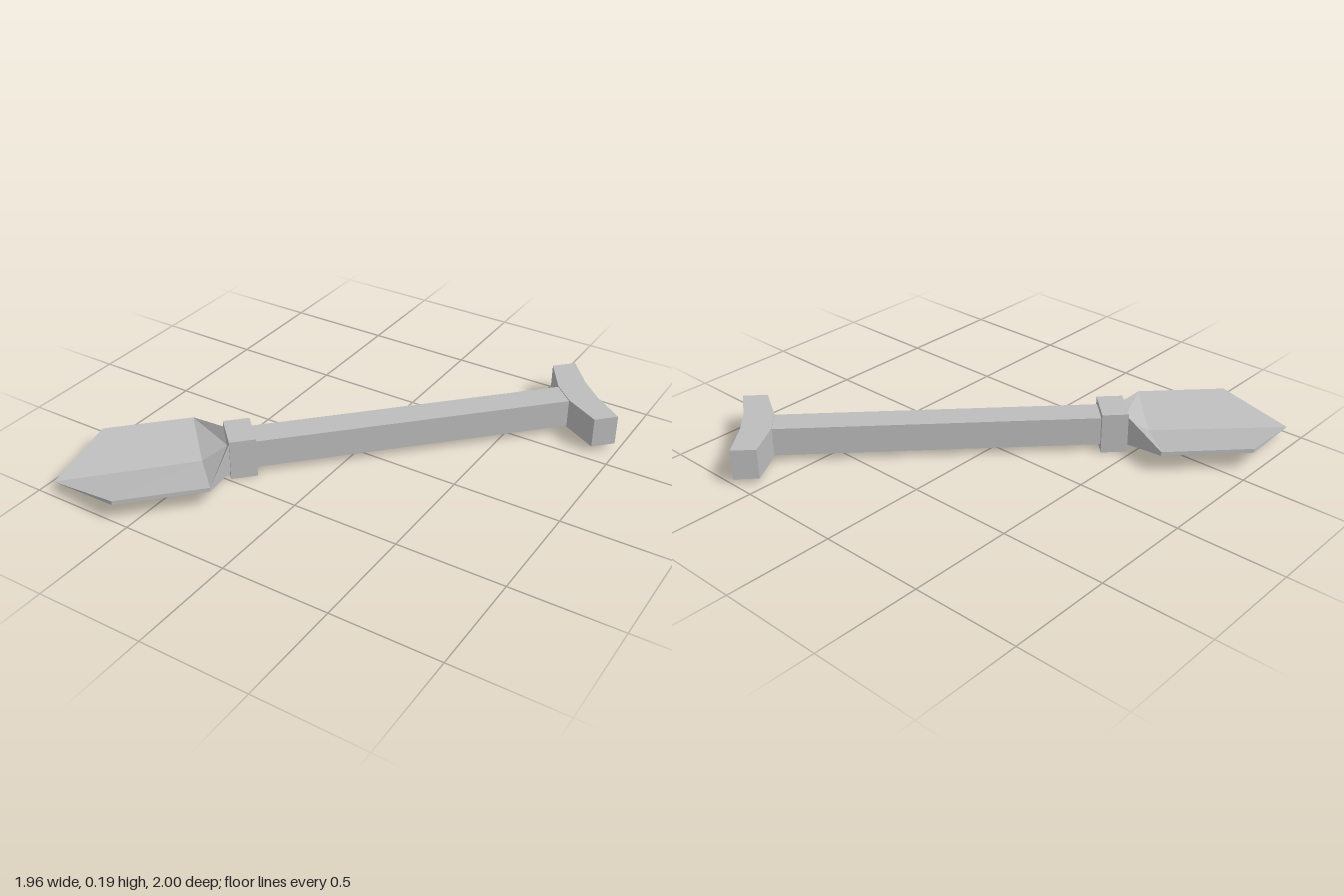
import * as THREE from 'three';

const steel = new THREE.MeshStandardMaterial({ color: 0xbcbcbc, flatShading: true });
steel.name = 'grey';

function part(name, geometry, parent) {
  const mesh = new THREE.Mesh(geometry, steel);
  mesh.name = name;
  parent.add(mesh);
  return mesh;
}

// box spanning x0..x1 along the tool, y0..y1 in height, centred across
function bar(x0, x1, y0, y1, width) {
  return new THREE.BoxGeometry(x1 - x0, y1 - y0, width)
    .translate((x0 + x1) / 2, (y0 + y1) / 2, 0);
}

// dished blade: one half as quads, mirrored across the long axis
function bladeGeometry() {
  const tip = [1.347, 0.048, 0];
  const cornerTop = [1.115, 0.107, 0.288], cornerLow = [1.115, 0.088, 0.288];
  const shoulderTop = [0.705, 0.107, 0.288], shoulderLow = [0.705, 0.088, 0.288];
  const creaseTop = [0.705, 0.055, 0], creaseLow = [0.705, 0.035, 0];
  const neckTop = [0.59, 0.17, 0.075], neckNotch = [0.59, 0.12, 0];
  const neckLow = [0.59, 0.03, 0.075], neckMid = [0.59, 0.03, 0];
  const faces = [
    [creaseTop, shoulderTop, cornerTop, tip],
    [neckNotch, neckTop, shoulderTop, creaseTop],
    [shoulderLow, cornerLow, cornerTop, shoulderTop],
    [cornerLow, tip, cornerTop],
    [neckLow, shoulderLow, shoulderTop, neckTop],
    [tip, cornerLow, shoulderLow, creaseLow],
    [creaseLow, shoulderLow, neckLow, neckMid],
    [neckMid, neckLow, neckTop, neckNotch],
  ];
  const positions = [];
  for (const side of [1, -1]) {
    for (const face of faces) {
      const loop = side > 0 ? face : [face[0], ...face.slice(1).reverse()];
      for (let i = 1; i < loop.length - 1; i++) {
        for (const [x, y, z] of [loop[0], loop[i], loop[i + 1]]) positions.push(x, y, z * side);
      }
    }
  }
  const geometry = new THREE.BufferGeometry();
  geometry.setAttribute('position', new THREE.Float32BufferAttribute(positions, 3));
  geometry.computeVertexNormals();
  return geometry;
}

// T-shaped grip outline, mirrored, extruded upward
function gripGeometry() {
  const half = [[-0.985, 0.067], [-1.031, 0.253], [-1.145, 0.253], [-1.122, 0.07]];
  const mirrored = half.map(([x, y]) => [x, -y]).reverse();
  const shape = new THREE.Shape([...half, ...mirrored].map(([x, y]) => new THREE.Vector2(x, y)));
  return new THREE.ExtrudeGeometry(shape, { depth: 0.143, bevelEnabled: false })
    .rotateX(-Math.PI / 2)
    .translate(0, 0.025, 0);
}

export function createModel() {
  const model = new THREE.Group();
  model.name = 'shovel';

  // built along +x, then turned to lie diagonally
  const tool = new THREE.Group();
  tool.name = 'shovelBody';
  part('shaft', bar(-0.99, 0.48, 0.03, 0.163, 0.134), tool);
  part('collar', bar(0.473, 0.592, 0, 0.19, 0.182), tool);
  part('blade', bladeGeometry(), tool);
  part('grip', gripGeometry(), tool);
  tool.rotation.y = THREE.MathUtils.degToRad(-134.14);
  model.add(tool);
  return model;
}
